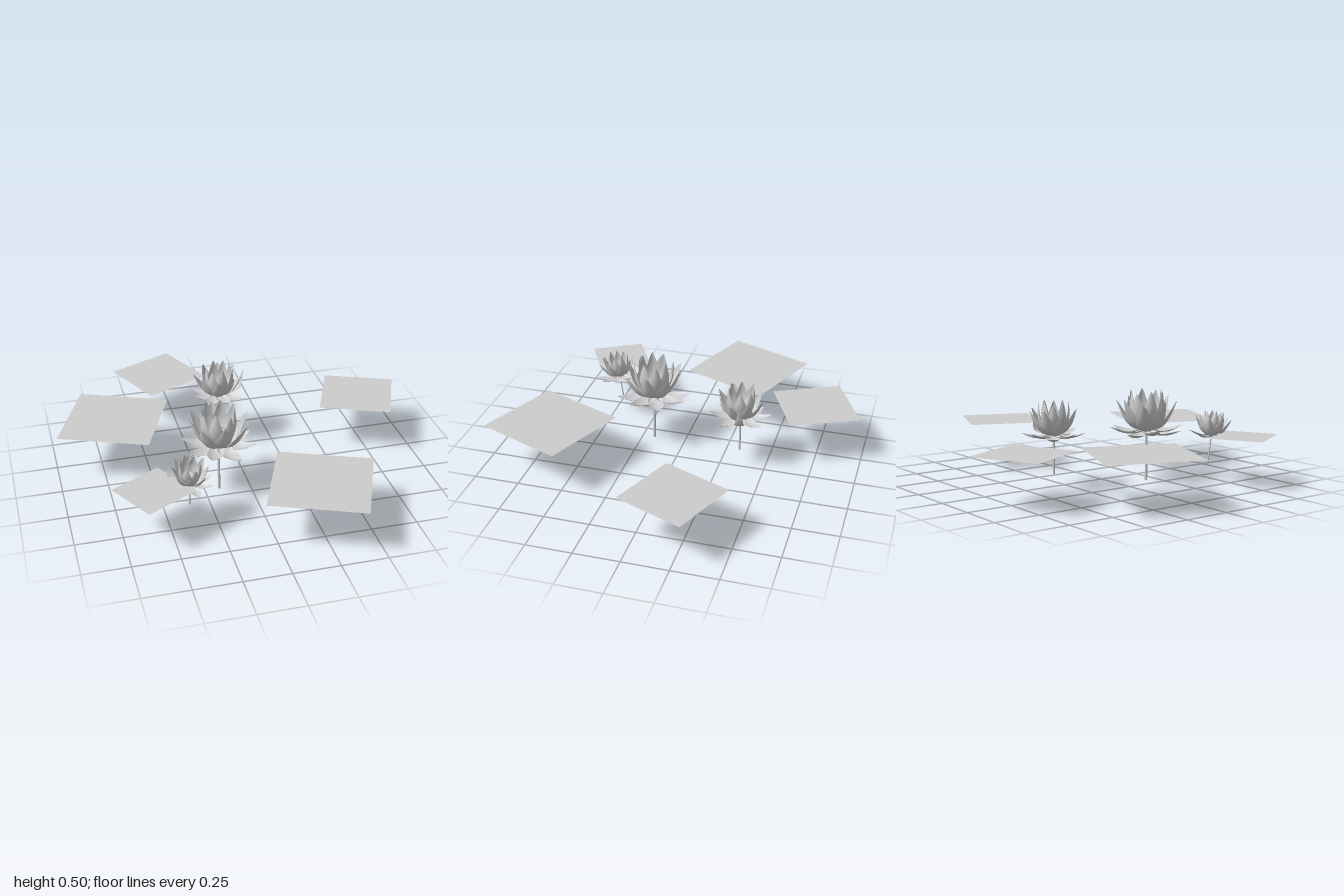
import * as THREE from 'three';

const grey = new THREE.MeshStandardMaterial({ color: 0xcccccc, side: THREE.DoubleSide });
const rad = THREE.MathUtils.degToRad;

function add(parent, name, geometry) {
  const mesh = new THREE.Mesh(geometry, grey);
  mesh.name = name;
  parent.add(mesh);
  return mesh;
}

// Cupped, pointed petal growing along +x; line holds [radius, height] points
function petalGeometry(line, width, cup) {
  const curve = new THREE.SplineCurve(line.map(p => new THREE.Vector2(...p)));
  const rows = 10, cols = 6;
  const geo = new THREE.PlaneGeometry(1, 1, cols, rows);
  const pos = geo.attributes.position;
  for (let j = 0, i = 0; j <= rows; j++) {
    const t = j / rows;
    const c = curve.getPoint(t), d = curve.getTangent(t);
    const half = width / 2 * Math.min(1, Math.sin(Math.PI * Math.pow(t, 0.85)) + 0.25 * (1 - t));
    for (let k = 0; k <= cols; k++, i++) {
      const u = k / cols * 2 - 1;
      const lift = cup * u * u * half;
      pos.setXYZ(i, c.x - d.y * lift, c.y + d.x * lift, u * half);
    }
  }
  geo.computeVertexNormals();
  return geo;
}

// Petal rings from the outside in
const rings = [
  { name: 'outerPetal', count: 8, turn: 22.5, width: 0.085, cup: 0.35,
    line: [[0.01, 0], [0.07, -0.02], [0.14, -0.015], [0.21, 0.015]] },
  { name: 'middlePetal', count: 8, turn: 0, width: 0.095, cup: 0.4,
    line: [[0.01, -0.01], [0.085, 0.02], [0.13, 0.08], [0.165, 0.17]] },
  { name: 'innerPetal', count: 8, turn: 22.5, width: 0.085, cup: 0.4,
    line: [[0.01, 0], [0.07, 0.04], [0.1, 0.12], [0.095, 0.22]] },
];

function makeFlower(turn, upturned) {
  const flower = new THREE.Group();
  for (const ring of rings) {
    const geo = petalGeometry(ring.line, ring.width, ring.cup);
    for (let i = 0; i < ring.count; i++) {
      const petal = add(flower, ring.name, geo);
      petal.rotation.order = 'YZX';
      petal.rotation.y = -rad(ring.turn + turn + i * 360 / ring.count);
      petal.rotation.z = rad([2, -4, 3, -1][i % 4]);
      // One outer petal has its tip bent upward
      if (upturned && i === 0 && ring.name === 'outerPetal') {
        petal.geometry = petalGeometry([[0.01, 0], [0.09, -0.005], [0.165, 0.02], [0.2, 0.15]], 0.07, 0.2);
      }
    }
  }
  // Seed pod with a domed top
  const pod = [[0, -0.01], [0.018, -0.01], [0.03, 0.04], [0.042, 0.075], [0.04, 0.085], [0.025, 0.092], [0, 0.095]];
  add(flower, 'seedPod', new THREE.LatheGeometry(pod.map(p => new THREE.Vector2(...p)), 20));
  // Stamens leaning out around the pod
  const stamenGeo = new THREE.CylinderGeometry(0.003, 0.0015, 0.08, 5);
  stamenGeo.translate(0, 0.04, 0);
  for (let i = 0; i < 20; i++) {
    const a = i / 20 * Math.PI * 2;
    const stamen = add(flower, 'stamen', stamenGeo);
    stamen.position.set(Math.cos(a) * 0.025, 0.005, Math.sin(a) * 0.025);
    stamen.rotation.order = 'YZX';
    stamen.rotation.set(0, -a, -0.5 - 0.1 * (i % 2));
  }
  return flower;
}

export function createModel() {
  const model = new THREE.Group();
  model.name = 'waterLilies';

  // Flat square leaf pads: x, z, side, turn
  const pads = [
    [-0.667, -0.254, 0.507, 22.2], [-0.32, -0.718, 0.393, -25], [0.742, -0.192, 0.397, 22.2],
    [0.256, 0.643, 0.507, 22.2], [-0.585, 0.51, 0.299, -29],
  ];
  for (const [x, z, size, turn] of pads) {
    const pad = add(model, 'leafPad', new THREE.PlaneGeometry(size, size).rotateX(-Math.PI / 2));
    pad.position.set(x, 0.267, z);
    pad.rotation.y = -rad(turn);
  }

  // Flowers on stems; the small one leans forward
  const flowers = [
    { name: 'largeFlower', foot: [-0.17, 0, 0.18], height: 0.28, scale: 1, turn: 0, lean: 0 },
    { name: 'mediumFlower', foot: [-0.045, 0.08, -0.35], height: 0.21, scale: 0.81, turn: -32, lean: 0, upturned: true },
    { name: 'smallFlower', foot: [-0.388, 0.105, 0.438], height: 0.15, scale: 0.61, turn: 10, lean: 9 },
  ];
  for (const f of flowers) {
    const plant = new THREE.Group();
    plant.name = f.name;
    plant.position.set(...f.foot);
    plant.rotation.x = rad(f.lean);
    const stem = add(plant, 'stem', new THREE.CylinderGeometry(0.007 * f.scale, 0.007 * f.scale, f.height, 8));
    stem.position.y = f.height / 2;
    const bloom = makeFlower(f.turn, f.upturned);
    bloom.name = 'bloom';
    bloom.position.y = f.height;
    bloom.scale.setScalar(f.scale);
    plant.add(bloom);
    model.add(plant);
  }
  return model;
}
